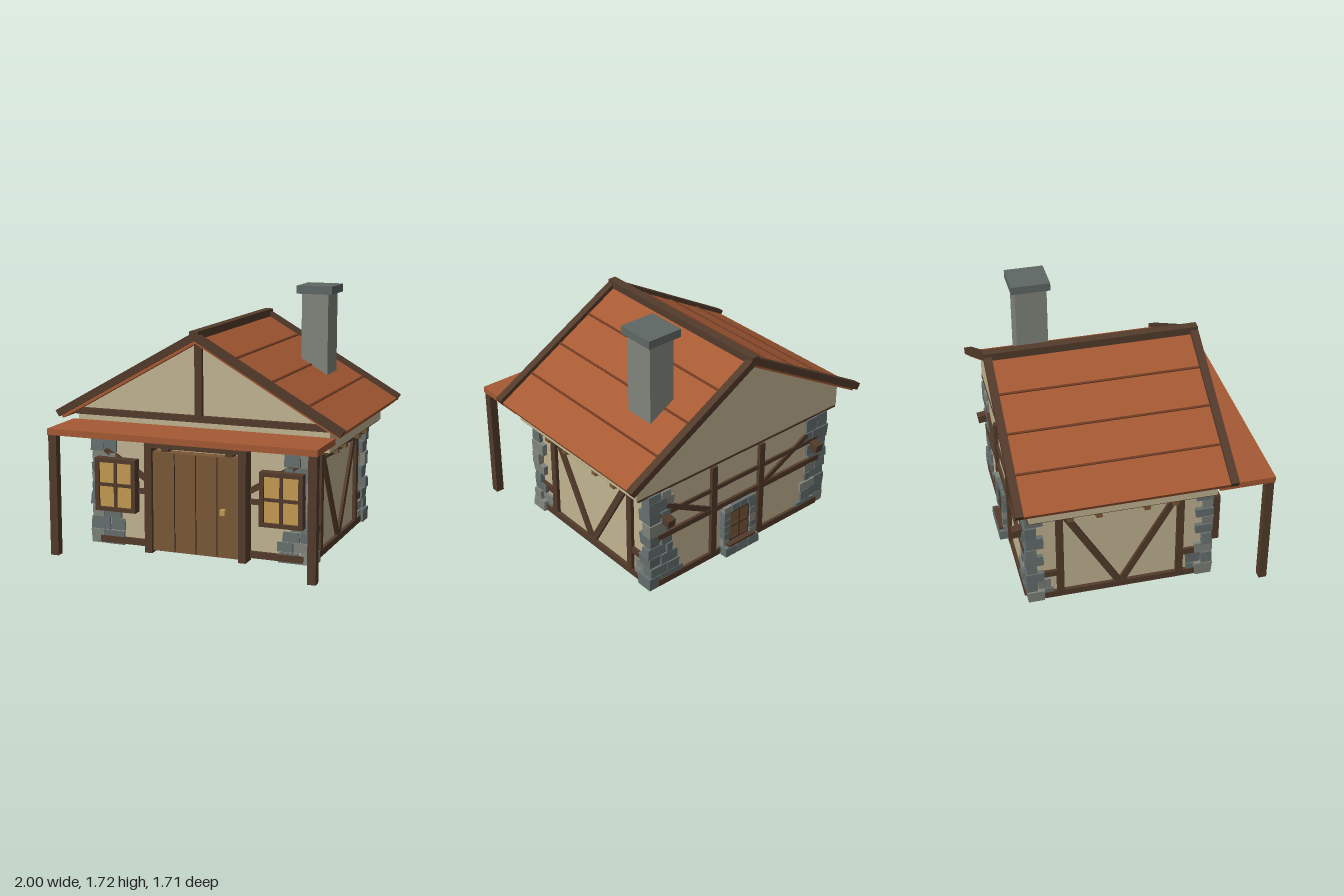
import * as THREE from 'three';

const mat = (color) => new THREE.MeshStandardMaterial({ color, flatShading: true });
const M = {
  timber: mat(0x533b2b), roof: mat(0xa65a34), plaster: mat(0xc2b492), door: mat(0x7a5836),
  gold: mat(0xc49a50), joist: mat(0x7a5836), dark: mat(0x33261c), seam: mat(0x6e3a22),
  stone: mat(0x66706f), stoneLight: mat(0x81857c), cap: mat(0x5f6866),
};
const SLOPE = 0.57, X = 0.75, ZF = 0.48, ZB = -0.755, ZC = (ZF + ZB) / 2;

let seed = 7;
const rnd = () => (seed = (seed * 16807) % 2147483647) / 2147483647;

export function createModel() {
  const root = new THREE.Group();
  root.name = 'cottage';

  function add(parent, name, geo, material) {
    const m = new THREE.Mesh(geo, material);
    m.name = name;
    parent.add(m);
    return m;
  }
  // box given by its limits on each axis
  function box(parent, name, material, x0, x1, y0, y1, z0, z1) {
    const m = add(parent, name, new THREE.BoxGeometry(x1 - x0, y1 - y0, z1 - z0), material);
    m.position.set((x0 + x1) / 2, (y0 + y1) / 2, (z0 + z1) / 2);
    return m;
  }
  // slanted beam in the xy plane of its parent
  function beam(parent, name, x0, y0, x1, y1, w, z0, z1, material = M.timber) {
    const g = new THREE.BoxGeometry(Math.hypot(x1 - x0, y1 - y0), w, z1 - z0);
    const m = add(parent, name, g, material);
    m.position.set((x0 + x1) / 2, (y0 + y1) / 2, (z0 + z1) / 2);
    m.rotation.z = Math.atan2(y1 - y0, x1 - x0);
    return m;
  }
  // slightly tapered, skewed stone block
  function stone(parent, x0, x1, y0, y1, z0, z1) {
    const m = box(parent, 'stone', rnd() < 0.7 ? M.stone : M.stoneLight, x0, x1, y0, y1, z0, z1);
    const p = m.geometry.attributes.position;
    const t = 0.88 + rnd() * 0.12, flip = rnd() < 0.5 ? 1 : -1;
    for (let i = 0; i < p.count; i++) {
      if (p.getY(i) * flip > 0) { p.setX(i, p.getX(i) * t); p.setZ(i, p.getZ(i) * t); }
    }
    m.geometry.computeVertexNormals();
  }
  function prism(name, material, pts, z0, z1) {
    const s = new THREE.Shape(pts.map(([x, y]) => new THREE.Vector2(x, y)));
    const g = new THREE.ExtrudeGeometry(s, { depth: z1 - z0, bevelEnabled: false });
    g.translate(0, 0, z0);
    return add(root, name, g, material);
  }
  // inverted V following the roof pitch
  function chevron(name, material, top, thick, half, z0, z1) {
    const e = half - thick * 0.45, b = top - thick;
    prism(name, material, [[0, top], [-half, top - SLOPE * half], [-e, b - SLOPE * e],
      [0, b], [e, b - SLOPE * e], [half, top - SLOPE * half]], z0, z1);
  }
  // wall face group: local +z points out of the wall
  function face(name, x, z, angle) {
    const g = new THREE.Group();
    g.name = name;
    g.position.set(x, 0, z);
    g.rotation.y = angle;
    root.add(g);
    return g;
  }

  // hollow ground floor walls
  const T = 0.02;
  for (const s of [-1, 1]) {
    box(root, 'sideWall', M.plaster, s > 0 ? X - T : -X, s > 0 ? X : -X + T, 0.02, 0.75, ZB, ZF);
  }
  box(root, 'frontWall', M.plaster, -X, X, 0.02, 0.75, ZF - T, ZF);
  box(root, 'backWall', M.plaster, -X, X, 0.02, 0.75, ZB, ZB + T);

  // overhanging upper storey with gables
  prism('gableStorey', M.plaster, [[-0.88, 0.75], [0.88, 0.75], [0.88, 0.91], [0, 1.412], [-0.88, 0.91]], ZB, ZF);
  box(root, 'topPlate', M.timber, -0.87, 0.87, 0.738, 0.752, ZB - 0.005, ZF + 0.005);

  // roof, bargeboards, ridge and seams
  chevron('roofSlab', M.roof, 1.455, 0.045, 0.98, -0.825, 0.555);
  chevron('frontBargeboard', M.timber, 1.487, 0.055, 1, 0.53, 0.582);
  chevron('backBargeboard', M.timber, 1.487, 0.055, 1, -0.855, -0.803);
  box(root, 'ridgeBeam', M.timber, -0.03, 0.03, 1.44, 1.492, -0.855, 0.58);
  for (const s of [-1, 1]) for (const x of [0.245, 0.49, 0.735]) {
    const y = 1.457 - SLOPE * x;
    beam(root, 'roofSeam', s * (x - 0.006), y + 0.0034, s * (x + 0.006), y - 0.0034, 0.012, -0.81, 0.54, M.seam);
  }
  box(root, 'gableBeam', M.timber, -0.88, 0.88, 0.89, 0.933, ZF - 0.01, ZF + 0.03);
  box(root, 'gablePost', M.timber, -0.025, 0.025, 0.93, 1.41, ZF - 0.01, ZF + 0.03);

  // chimney
  box(root, 'chimney', M.stoneLight, 0.418, 0.606, 0.95, 1.665, -0.562, -0.345);
  box(root, 'chimneyCap', M.cap, 0.385, 0.636, 1.662, 1.717, -0.592, -0.325);

  // porch
  box(root, 'porchRoof', M.roof, -0.917, 0.917, 0.808, 0.85, ZF, 0.855);
  for (const s of [-1, 1]) box(root, 'porchPost', M.timber, s * 0.886 - 0.028, s * 0.886 + 0.028, 0, 0.81, 0.793, 0.848);

  // front: door, windows and framing
  const front = face('front', 0, ZF, 0);
  box(front, 'doorLeaf', M.door, -0.31, 0.31, 0.015, 0.685, 0, 0.075);
  box(front, 'doorLintel', M.timber, -0.355, 0.355, 0.713, 0.762, 0, 0.1);
  box(front, 'doorKnob', M.gold, 0.18, 0.215, 0.307, 0.343, 0.07, 0.112);
  for (const x of [-0.15, 0, 0.15]) box(front, 'plankGap', M.dark, x - 0.003, x + 0.003, 0.02, 0.68, 0.07, 0.077);
  for (const s of [-1, 1]) {
    box(front, 'doorJamb', M.timber, s * 0.33 - 0.026, s * 0.33 + 0.026, 0, 0.73, 0, 0.1);
    box(front, 'doorBlock', M.timber, s * 0.225 - 0.025, s * 0.225 + 0.025, 0.68, 0.72, 0, 0.06);
    // window with four panes
    const w = new THREE.Group();
    w.name = 'window';
    w.position.set(s * 0.583, 0.43, 0.015);
    front.add(w);
    box(w, 'windowPanes', M.gold, -0.13, 0.13, -0.165, 0.165, 0, 0.045);
    for (const t of [-1, 1]) {
      box(w, 'windowStile', M.timber, t * 0.132 - 0.015, t * 0.132 + 0.015, -0.18, 0.18, -0.01, 0.06);
      box(w, 'windowRail', M.timber, -0.147, 0.147, t * 0.166 - 0.014, t * 0.166 + 0.014, -0.01, 0.06);
    }
    box(w, 'mullion', M.timber, -0.011, 0.011, -0.17, 0.17, 0, 0.055);
    box(w, 'transom', M.timber, -0.13, 0.13, -0.011, 0.011, 0, 0.055);
    beam(front, 'brace', s * 0.34, 0.455, s * 0.68, 0.66, 0.04, -0.01, 0.018);
    beam(front, 'rail', s * 0.34, 0.393, s * 0.7, 0.393, 0.036, -0.01, 0.016);
    beam(front, 'sill', s * 0.34, 0.04, s * 0.72, 0.04, 0.045, -0.01, 0.02);
  }

  // sides: frame with V braces and jetty brackets
  for (const s of [-1, 1]) {
    const side = face(s > 0 ? 'leftSide' : 'rightSide', s * X, 0, s * Math.PI / 2);
    const u = (z) => -s * z;
    beam(side, 'sill', u(0.45), 0.033, u(-0.73), 0.033, 0.046, -0.03, 0.025);
    for (const z of [0.272, -0.54]) beam(side, 'post', u(z), 0.04, u(z), 0.74, 0.048, -0.03, 0.025);
    beam(side, 'brace', u(0.24), 0.69, u(-0.13), 0.045, 0.046, -0.01, 0.02);
    beam(side, 'brace', u(-0.51), 0.69, u(-0.14), 0.045, 0.046, -0.01, 0.02);
    beam(side, 'rail', u(0.28), 0.21, u(0.42), 0.21, 0.045, -0.01, 0.02);
    beam(side, 'rail', u(-0.55), 0.21, u(-0.7), 0.21, 0.045, -0.01, 0.02);
    for (const z of [0.21, 0.022, -0.295, -0.482]) {
      box(side, 'joistEnd', M.joist, u(z) - 0.02, u(z) + 0.02, 0.698, 0.738, -0.02, 0.11);
      // diagonal strut below the joist end
      beam(root, 'strut', s * (X - 0.03), 0.637, s * (X + 0.1), 0.715, 0.025, z - 0.013, z + 0.013, M.dark);
    }
  }

  // back: framing, stone-lined hatch and beam ends (local x runs towards -x)
  const back = face('back', 0, ZB, Math.PI);
  for (const x of [-0.25, 0.17]) beam(back, 'post', x, 0.03, x, 0.74, 0.046, -0.01, 0.025);
  beam(back, 'sill', -0.72, 0.035, 0.72, 0.035, 0.046, -0.01, 0.02);
  beam(back, 'midRail', -0.72, 0.4, 0.72, 0.4, 0.04, -0.01, 0.02);
  beam(back, 'upperRail', -0.7, 0.56, 0.7, 0.56, 0.03, -0.01, 0.015);
  for (const [a, b] of [[-0.25, -0.65], [0.17, 0.6]]) beam(back, 'brace', a, 0.4, b, 0.62, 0.036, -0.01, 0.016);
  for (const s of [-1, 1]) {
    const e = box(back, 'beamEnd', M.timber, s * 0.66 - 0.03, s * 0.66 + 0.03, 0.5, 0.555, -0.02, 0.078);
    e.rotation.x = 0.15;
  }
  const hatch = new THREE.Group();
  hatch.name = 'hatch';
  hatch.position.set(-0.035, 0, 0);
  back.add(hatch);
  box(hatch, 'hatchPanel', M.door, -0.085, 0.085, 0.09, 0.33, 0, 0.025);
  for (const x of [-0.085, 0, 0.085]) box(hatch, 'hatchBar', M.timber, x - 0.007, x + 0.007, 0.09, 0.33, 0, 0.035);
  for (const y of [0.1, 0.21, 0.325]) box(hatch, 'hatchRail', M.timber, -0.09, 0.09, y - 0.007, y + 0.007, 0, 0.035);
  for (const s of [-1, 1]) for (let i = 0; i < 5; i++) {
    stone(hatch, s * 0.115 - 0.027, s * 0.115 + 0.027, 0.075 + i * 0.054, 0.126 + i * 0.054, 0, 0.04 + rnd() * 0.01);
  }
  for (let i = 0; i < 4; i++) stone(hatch, -0.14 + i * 0.07, -0.074 + i * 0.07, 0.335, 0.385, 0, 0.045);
  box(hatch, 'hatchLedge', M.timber, -0.12, 0.12, 0.078, 0.094, 0, 0.075);
  for (let i = 0; i < 3; i++) stone(hatch, -0.15 + i * 0.1, -0.052 + i * 0.1, 0.01, 0.076, 0, 0.078);

  // irregular stone quoins at the four corners
  for (const sx of [-1, 1]) for (const sz of [-1, 1]) {
    const corner = new THREE.Group();
    corner.name = 'cornerStones';
    corner.position.set(sx * X, 0, sz > 0 ? ZF : ZB);
    root.add(corner);
    // stone reaching inwards by lx, lz and outwards by ox, oz
    const put = (inX, outX, y0, y1, inZ, outZ) => {
      const a = [sx * inX, sx * outX].sort((p, q) => p - q);
      const b = [sz * inZ, sz * outZ].sort((p, q) => p - q);
      stone(corner, a[0], a[1], y0, y1, b[0], b[1]);
    };
    let y = 0.008;
    for (let i = 0; i < 9; i++) {
      const h = i === 8 ? 0.745 - y : 0.065 + rnd() * 0.033, odd = i % 2;
      const lx = odd ? 0.1 : 0.055, lz = odd ? 0.06 : 0.105;
      put(-lx, 0.025 + rnd() * 0.025, y, y + h - 0.003, -lz, 0.008 + rnd() * 0.012);
      // second course stone along the front or back face
      const reach = i < 3 ? 0.2 - i * 0.02 : i > 6 ? 0.13 : 0.12;
      put(-reach - rnd() * 0.04, -lx - 0.003, y, y + h - 0.006, -0.02, 0.01 + rnd() * 0.012);
      if (i < 2) put(-lx, 0.02, y, y + h - 0.006, -0.15 - rnd() * 0.02, -lz - 0.003);
      y += h;
    }
  }
  return root;
}
